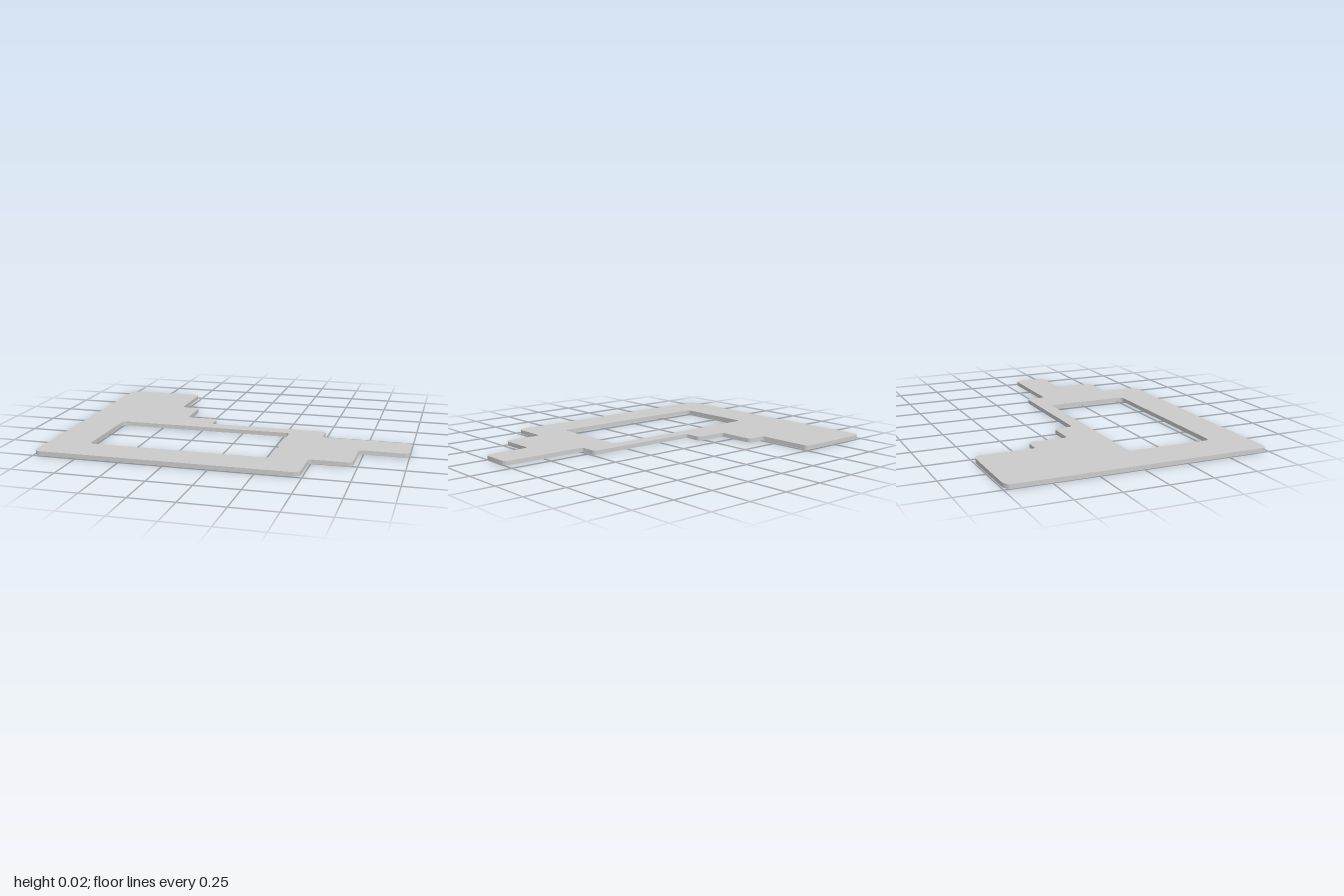
import * as THREE from 'three';
import { toCreasedNormals } from 'three/addons/utils/BufferGeometryUtils.js';

const THICKNESS = 0.024;

// Traces a closed outline of [x, z, radius along x, radius along z] corners, rounding each one.
function roundedPath(path, corners) {
  const n = corners.length;
  const K = 0.55;
  const toward = ([x, z, rx, rz], [ox, oz], f) => [
    x + Math.sign(ox - x) * rx * f,
    z + Math.sign(oz - z) * rz * f,
  ];
  corners.forEach((c, i) => {
    const prev = corners[(i + n - 1) % n];
    const next = corners[(i + 1) % n];
    const start = toward(c, prev, 1);
    if (i === 0) path.moveTo(...start);
    else path.lineTo(...start);
    path.bezierCurveTo(...toward(c, prev, 1 - K), ...toward(c, next, 1 - K), ...toward(c, next, 1));
  });
  path.closePath();
  return path;
}

export function createModel() {
  const group = new THREE.Group();
  group.name = 'steppedPlate';

  const R = 0.035; // outer corners
  const r = 0.015; // inner corners

  // Stepped outline, clockwise from the back right corner
  const outline = roundedPath(new THREE.Shape(), [
    [-1, -0.742, 0.06, 0.03], [-0.518, -0.742, 0.06, 0.03],
    [-0.518, -0.395, r, r], [-0.404, -0.395, R, R],
    [-0.404, -0.16, r, r], [-0.213, -0.16, 0.03, 0.03],
    [-0.213, -0.045, r, r], [0.487, -0.045, 0.018, 0.018],
    [0.487, 0.07, r, r], [1, 0.07, 0.03, 0.035],
    [1, 0.273, 0.03, 0.035], [0.724, 0.273, r, r],
    [0.724, 0.508, 0.03, 0.03], [0.487, 0.508, r, r],
    [0.487, 0.74, R, R], [-1, 0.74, R, R],
  ]);

  // Rectangular window
  const h = 0.025;
  outline.holes.push(roundedPath(new THREE.Path(), [
    [-0.76, 0.037, h, h], [-0.76, 0.533, h, h], [0.284, 0.533, h, h], [0.284, 0.037, h, h],
  ]));

  // Lay the sheet flat on the floor
  const geometry = new THREE.ExtrudeGeometry(outline, {
    depth: THICKNESS, bevelEnabled: false, curveSegments: 6,
  });
  geometry.rotateX(Math.PI / 2);
  geometry.translate(0, THICKNESS, 0);

  const plate = new THREE.Mesh(
    toCreasedNormals(geometry, 0.6),
    new THREE.MeshStandardMaterial({ color: 0xcccccc }),
  );
  plate.name = 'plate';
  group.add(plate);
  return group;
}
